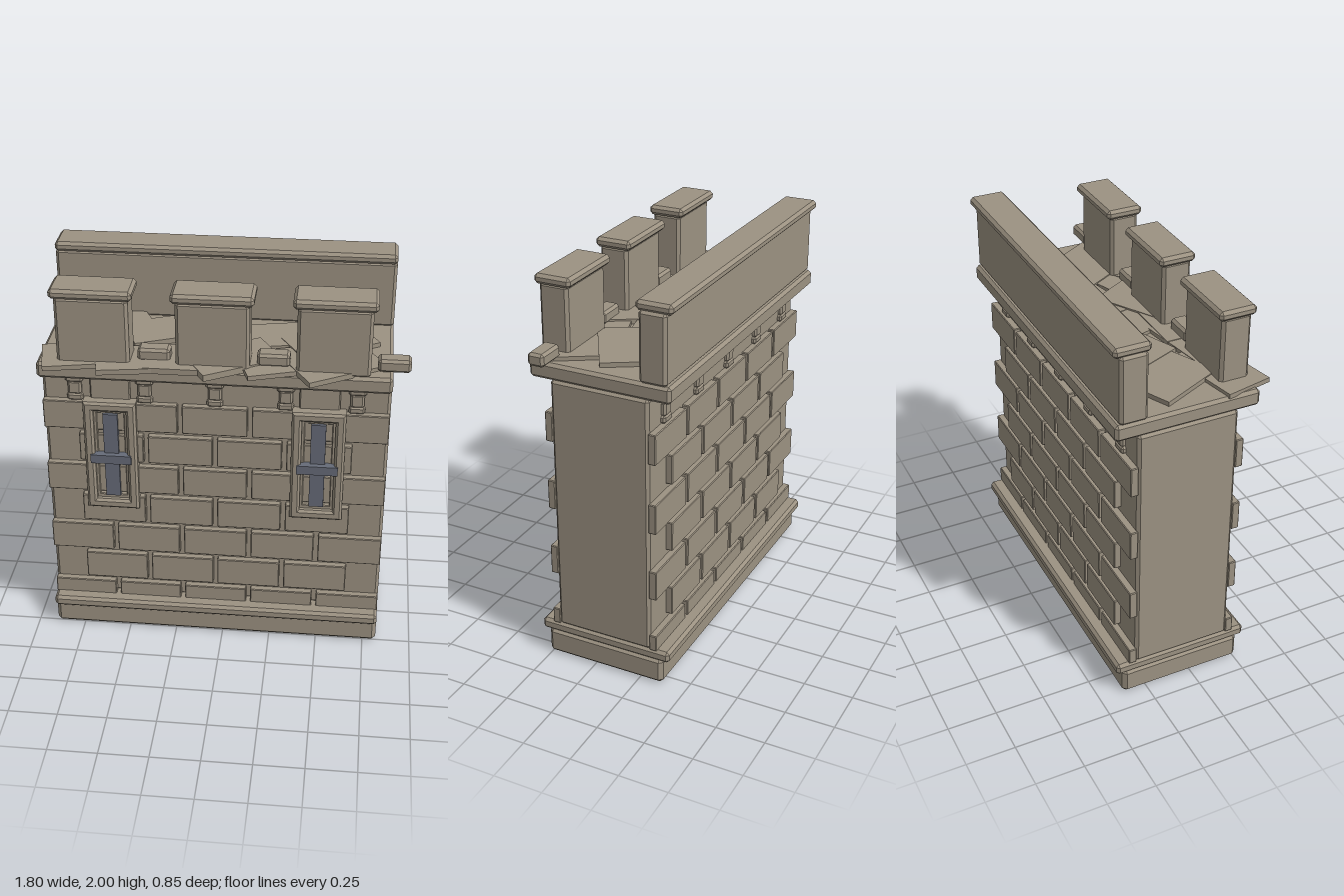
import * as THREE from 'three';
import { ConvexGeometry } from 'three/addons/geometries/ConvexGeometry.js';

const CX = -0.04, CZ = -0.055; // centre of the wall body

export function createModel() {
  const root = new THREE.Group();
  root.name = 'castleWall';
  const stone = new THREE.MeshStandardMaterial({ color: 0x9c9282 });
  stone.name = 'stone';
  const iron = new THREE.MeshStandardMaterial({ color: 0x666b78 });
  iron.name = 'iron';

  // Box with chamfered edges, given by its min and max on each axis
  function block(name, x0, x1, y0, y1, z0, z1, bevel = 0.015, mat = stone, parent = root) {
    const h = [(x1 - x0) / 2, (y1 - y0) / 2, (z1 - z0) / 2];
    let geo;
    if (bevel > 0) {
      const pts = [];
      for (const sx of [-1, 1]) for (const sy of [-1, 1]) for (const sz of [-1, 1])
        for (let a = 0; a < 3; a++) {
          const d = [bevel, bevel, bevel];
          d[a] = 0;
          pts.push(new THREE.Vector3(sx * (h[0] - d[0]), sy * (h[1] - d[1]), sz * (h[2] - d[2])));
        }
      geo = new ConvexGeometry(pts);
    } else {
      geo = new THREE.BoxGeometry(h[0] * 2, h[1] * 2, h[2] * 2);
    }
    const mesh = new THREE.Mesh(geo, mat);
    mesh.name = name;
    mesh.position.set((x0 + x1) / 2, (y0 + y1) / 2, (z0 + z1) / 2);
    parent.add(mesh);
    return mesh;
  }

  // Plinth, wall body and cornice
  block('plinth', -0.9, 0.82, 0, 0.14, -0.375, 0.265, 0.02);
  block('plinthCap', -0.9, 0.82, 0.13, 0.19, -0.41, 0.3);
  block('wallBody', -0.9, 0.82, 0.185, 1.53, -0.31, 0.2);
  block('cornice', -0.9, 0.82, 1.525, 1.61, -0.42, 0.31);

  // Raised stones in running bond on front and back
  const pitch = 0.348, stoneW = 0.325;
  for (let row = 0; row < 7; row++) {
    const top = 1.362 - row * 0.182;
    const count = row % 2 ? 4 : 5;
    const bottom = row === 6 ? 0.185 : top - 0.155;
    for (let i = 0; i < count; i++) {
      const x = CX + (i - (count - 1) / 2) * pitch;
      for (const s of [1, -1]) {
        const z = CZ + s * 0.27;
        block('wallStone', x - stoneW / 2, x + stoneW / 2, bottom, top, z - 0.02, z + 0.02, 0.004);
      }
    }
  }

  // Stepped corbels below the cornice
  for (let i = -2; i <= 2; i++) {
    const x = CX + i * pitch;
    for (const s of [1, -1]) {
      const steps = [[0.044, 1.465, 1.53, 0.03], [0.034, 1.395, 1.47, 0.022], [0.04, 1.36, 1.4, 0.022]];
      for (const [hw, y0, y1, out] of steps) {
        const a = CZ + s * 0.24, b = CZ + s * (0.255 + out);
        block('corbel', x - hw, x + hw, y0, y1, Math.min(a, b), Math.max(a, b), 0.01);
      }
    }
  }

  // Rectangular frame with an opening
  function frame(name, w, h, iw, ih, z0, z1, y, parent, bevel) {
    const rect = (P, a, b) => new P([
      new THREE.Vector2(-a, -b), new THREE.Vector2(a, -b), new THREE.Vector2(a, b), new THREE.Vector2(-a, b)]);
    const shape = rect(THREE.Shape, w / 2 - bevel, h / 2 - bevel);
    shape.holes.push(rect(THREE.Path, iw / 2 + bevel, ih / 2 + bevel));
    const geo = new THREE.ExtrudeGeometry(shape, {
      depth: z1 - z0 - 2 * bevel, bevelEnabled: true, bevelSize: bevel, bevelThickness: bevel, bevelSegments: 1 });
    const mesh = new THREE.Mesh(geo, stone);
    mesh.name = name;
    mesh.position.set(0, y, z0 + bevel);
    parent.add(mesh);
  }

  // Arrow-slit windows with crossed iron bars
  for (const x of [-0.56, 0.475]) {
    const win = new THREE.Group();
    win.name = 'window';
    win.position.x = x;
    root.add(win);
    block('windowPanel', -0.1, 0.1, 0.79, 1.53, 0.17, 0.215, 0.006, stone, win);
    frame('windowFrame', 0.265, 0.615, 0.165, 0.515, 0.19, 0.27, 1.07, win, 0.012);
    frame('innerFrame', 0.18, 0.53, 0.135, 0.475, 0.2, 0.24, 1.07, win, 0.004);
    block('verticalBar', -0.037, 0.037, 0.83, 1.305, 0.2, 0.25, 0, iron, win);
    block('crossBar', -0.103, 0.103, 1.035, 1.083, 0.23, 0.278, 0, iron, win);
  }

  // Crooked roof slabs: centre x, centre z, width, depth, turn
  const slabs = [
    [-0.67, 0.22, 0.42, 0.24, 0.21], [-0.40, 0.24, 0.42, 0.25, 0.16], [-0.2, 0.23, 0.34, 0.25, 0],
    [0.045, 0.195, 0.42, 0.25, 0.53], [0.295, 0.195, 0.42, 0.25, 0.32], [0.545, 0.205, 0.42, 0.25, 0.54],
    [-0.58, -0.06, 0.42, 0.36, 0.44], [-0.30, -0.085, 0.42, 0.25, 0.4],
    [-0.06, -0.02, 0.38, 0.25, 0.3], [0.19, -0.06, 0.42, 0.25, 0.21], [0.51, -0.03, 0.42, 0.25, 0.53],
  ];
  slabs.forEach(([x, z, w, d, turn], i) => {
    const top = 1.627 + (i % 4) * 0.003;
    const slab = block('roofSlab', x - w / 2, x + w / 2, 1.603, top, z - d / 2, z + d / 2, 0);
    slab.rotation.y = turn;
  });

  // Rear parapet
  block('rearParapet', -0.9, 0.82, 1.605, 1.955, -0.4, -0.26);
  block('rearCoping', -0.9, 0.82, 1.95, 2, -0.43, -0.245);

  // Front merlons with copings, and a low stone in each gap
  for (let i = 0; i < 3; i++) {
    const x = -0.617 + i * 0.576;
    block('merlon', x - 0.177, x + 0.177, 1.605, 1.955, 0.155, 0.305);
    block('merlonCoping', x - 0.198, x + 0.198, 1.95, 2, 0.13, 0.32);
    const g = x + 0.288;
    block('gapStone', g - 0.079, g + 0.079, 1.62, 1.685, 0.18, 0.265, 0.013);
  }
  return root;
}
